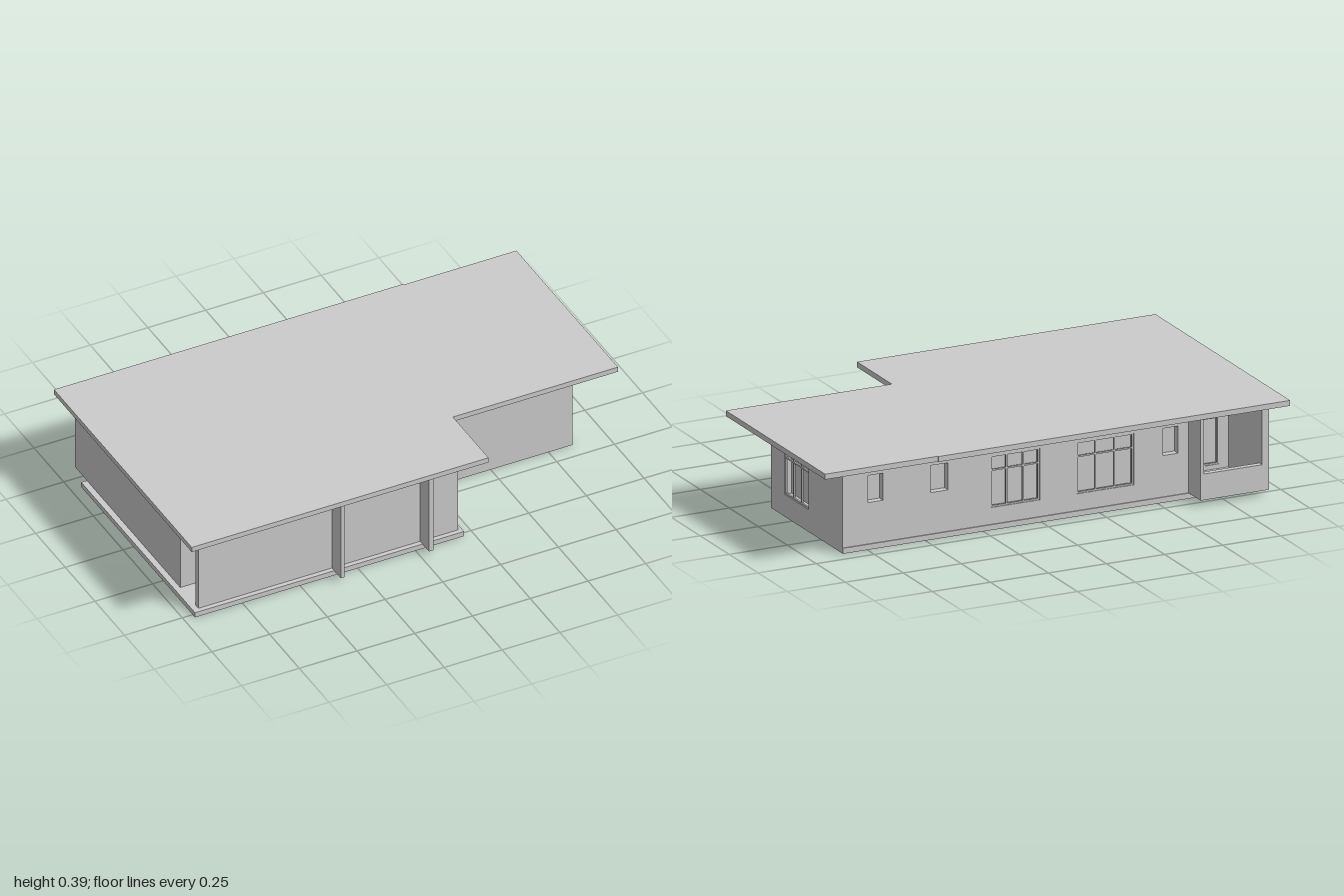
import * as THREE from 'three';

const FLOOR = 0.022, EAVE = 0.365, TOP = 0.387, T = 0.03;
const mat = new THREE.MeshStandardMaterial({ color: 0xcccccc, flatShading: true });

function addMesh(parent, name, geometry) {
  const mesh = new THREE.Mesh(geometry, mat);
  mesh.name = name;
  parent.add(mesh);
  return mesh;
}

// Box given by its limits on each axis
function box(parent, name, x0, x1, y0, y1, z0, z1) {
  const m = addMesh(parent, name, new THREE.BoxGeometry(x1 - x0, y1 - y0, z1 - z0));
  m.position.set((x0 + x1) / 2, (y0 + y1) / 2, (z0 + z1) / 2);
  return m;
}

// Floor plan [x, z] raised from y0 to y1
function plan(parent, name, points, y0, y1) {
  const shape = new THREE.Shape(points.map(([x, z]) => new THREE.Vector2(x, -z)));
  const geometry = new THREE.ExtrudeGeometry(shape, { depth: y1 - y0, bevelEnabled: false });
  geometry.rotateX(-Math.PI / 2);
  geometry.translate(0, y0, 0);
  return addMesh(parent, name, geometry);
}

// Wall along local x with window holes; outward face at depth 0 or T
function wall(parent, name, u0, u1, y0, windows, outer) {
  const group = new THREE.Group();
  group.name = name;
  const shape = new THREE.Shape([[u0, y0], [u1, y0], [u1, EAVE], [u0, EAVE]].map(p => new THREE.Vector2(...p)));
  const d = outer > 0 ? T - 0.008 : 0.008;
  for (const { a, b, lo, hi, bars = [], transom } of windows) {
    shape.holes.push(new THREE.Path([[a, lo], [a, hi], [b, hi], [b, lo]].map(p => new THREE.Vector2(...p))));
    if (transom === undefined) continue;
    const w = 0.006, z0 = d - 0.004, z1 = d + 0.004;
    for (const u of [a + w / 2, ...bars, b - w / 2]) {
      box(group, 'windowMullion', u - w / 2, u + w / 2, lo, hi, z0, z1);
    }
    for (const y of [lo + w / 2, transom, hi - w / 2]) {
      box(group, 'windowRail', a, b, y - w / 2, y + w / 2, z0, z1);
    }
  }
  addMesh(group, name + 'Panel', new THREE.ExtrudeGeometry(shape, { depth: T, bevelEnabled: false }));
  parent.add(group);
  return group;
}

// Wall running along z whose outer face (+1 or -1 in x) lies at x
function sideWall(parent, name, x, z0, z1, y0, windows, facing) {
  const g = wall(parent, name, z0, z1, y0, windows, facing > 0 ? -1 : 1);
  g.rotation.y = -Math.PI / 2;
  g.position.x = facing > 0 ? x : x + T;
  return g;
}

// Three-pane window and small plain window
const triple = (a, b) => ({
  a, b, lo: 0.09, hi: 0.3, transom: 0.24,
  bars: [a + (b - a) / 3, a + (b - a) * 2 / 3]
});
const small = (a, b) => ({ a, b, lo: 0.19, hi: 0.3 });

export function createModel() {
  const house = new THREE.Group();
  house.name = 'house';

  // Roof and base slab, both L-shaped
  plan(house, 'roof', [[-1, 0.58], [0.285, 0.58], [0.285, 0.28], [1, 0.28], [1, -0.577], [0.515, -0.577],
    [0.515, -0.582], [-1, -0.582]], EAVE, TOP);
  plan(house, 'baseSlab', [[-0.955, 0.52], [0.21, 0.52], [0.21, 0.18], [0.855, 0.18],
    [0.855, -0.44], [-0.955, -0.44]], 0, FLOOR);

  // Inner core, set back behind the wall panels, leaving the balconies open
  plan(house, 'innerRooms', [[-0.9, 0.347], [-0.7, 0.347], [-0.7, 0.475], [-0.13, 0.475], [-0.13, 0.15],
    [0.825, 0.15], [0.825, -0.405], [-0.615, -0.405], [-0.615, -0.22], [-0.9, -0.22]], FLOOR, EAVE);

  // Outer walls
  const back = wall(house, 'backWall', -0.645, 0.855, FLOOR, [
    small(0.68, 0.745), small(0.4, 0.475), triple(0.005, 0.215), triple(-0.4, -0.155), small(-0.59, -0.526)
  ], -1);
  back.position.z = -0.435;
  sideWall(house, 'rightWall', 0.855, -0.405, 0.15, FLOOR, [triple(-0.145, 0.065)], 1);
  const inner = wall(house, 'frontRightWall', -0.13, 0.855, FLOOR, [], 1);
  inner.position.z = 0.15;
  sideWall(house, 'leftWall', -0.93, -0.54, 0.347, FLOOR, [], -1);
  box(house, 'frontWall', -0.93, 0.195, FLOOR, EAVE, 0.475, 0.5);

  // Upright fins on the front
  for (const [a, b] of [[-0.352, -0.335], [0.03, 0.05]]) {
    box(house, 'frontFin', a, b, FLOOR, EAVE, 0.5, 0.575);
  }

  // Front balcony: parapet and the windowed wall behind it
  box(house, 'frontBalconyParapet', 0.17, 0.195, FLOOR, 0.122, 0.18, 0.475);
  sideWall(house, 'frontBalconyWall', -0.1, 0.18, 0.475, FLOOR,
    [{ a: 0.22, b: 0.42, lo: 0.1, hi: 0.295, transom: 0.255, bars: [0.325] }], 1);

  // Back balcony: overhanging floor, parapet, cheek wall and windowed wall
  box(house, 'backBalconyFloor', -0.93, -0.635, FLOOR, 0.032, -0.54, -0.22);
  box(house, 'backBalconyParapet', -0.9, -0.635, FLOOR, 0.128, -0.54, -0.515);
  box(house, 'backBalconyCheek', -0.65, -0.635, FLOOR, EAVE, -0.54, -0.22);
  const balcony = wall(house, 'backBalconyWall', -0.9, -0.65, FLOOR,
    [{ a: -0.86, b: -0.7, lo: 0.05, hi: 0.3, transom: 0.24, bars: [-0.78] }], -1);
  balcony.position.z = -0.25;

  return house;
}
